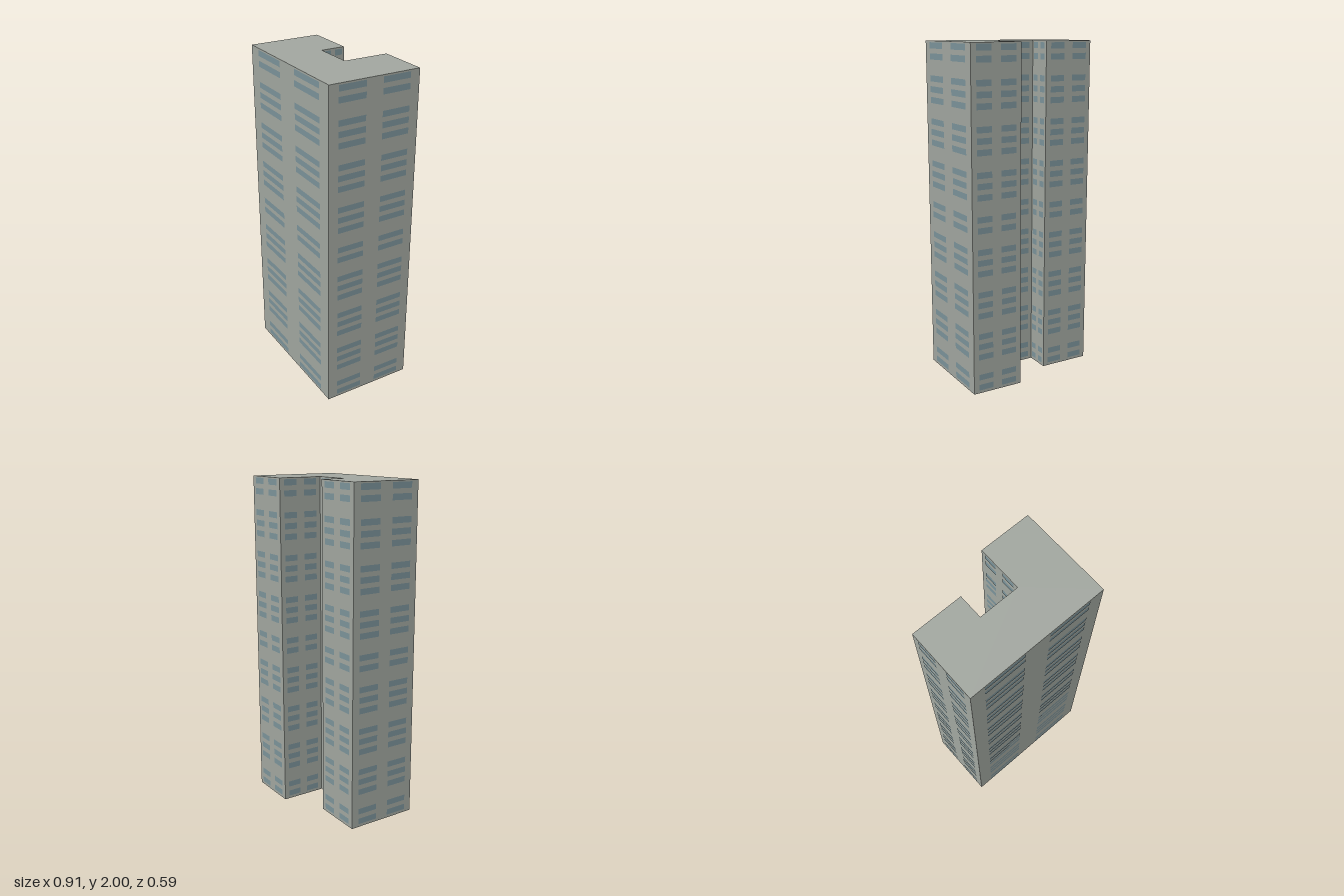
import * as THREE from 'three';
import { mergeGeometries } from 'three/addons/utils/BufferGeometryUtils.js';

const HEIGHT = 2;
const FLOORS = 32;
const FLOOR_HEIGHT = HEIGHT / FLOORS;
const BLANK_FLOORS = [2, 6, 10, 14, 17, 21, 25, 29];
const COLUMNS = [[0.102, 0.402], [0.588, 0.895]]; // share of the facade width

// U-shaped floor plan as [x, z], starting at the front right corner
const PLAN = [
  [-0.455, 0.218], [0.405, 0.292], [0.452, -0.268], [0.142, -0.295],
  [0.118, -0.022], [-0.124, -0.042], [-0.111, -0.189], [-0.417, -0.215],
];

const concrete = new THREE.MeshStandardMaterial({ name: 'concrete', color: 0xa3a8a1, side: THREE.DoubleSide });
const glass = new THREE.MeshStandardMaterial({ name: 'blueGlass', color: 0x7c949b });

// Two columns of window bands, skipping the blank floors
function windowBands(width) {
  const bands = [];
  for (let floor = 0; floor < FLOORS; floor++) {
    if (BLANK_FLOORS.includes(floor)) continue;
    const y = floor * FLOOR_HEIGHT + 0.036;
    for (const [start, end] of COLUMNS) {
      const band = new THREE.PlaneGeometry((end - start) * width, 0.035);
      band.translate(((start + end) / 2 - 0.5) * width, y, 0.002);
      bands.push(band);
    }
  }
  return mergeGeometries(bands);
}

// One wall with its windows, standing between two plan corners
function createFacade([x0, z0], [x1, z1], index) {
  const facade = new THREE.Group();
  facade.name = `facade${index + 1}`;
  const width = Math.hypot(x1 - x0, z1 - z0);

  const wall = new THREE.Mesh(new THREE.PlaneGeometry(width, HEIGHT).translate(0, HEIGHT / 2, 0), concrete);
  wall.name = 'wall';
  const windows = new THREE.Mesh(windowBands(width), glass);
  windows.name = 'windows';

  facade.add(wall, windows);
  facade.position.set((x0 + x1) / 2, 0, (z0 + z1) / 2);
  facade.rotation.y = Math.atan2(z0 - z1, x1 - x0);
  return facade;
}

export function createModel() {
  const tower = new THREE.Group();
  tower.name = 'towerBlock';

  PLAN.forEach((corner, i) => {
    tower.add(createFacade(corner, PLAN[(i + 1) % PLAN.length], i));
  });

  // Flat roof; the underside of the tower stays open
  const outline = new THREE.Shape(PLAN.map(([x, z]) => new THREE.Vector2(x, -z)));
  const roof = new THREE.Mesh(new THREE.ShapeGeometry(outline).rotateX(-Math.PI / 2), concrete);
  roof.name = 'roof';
  roof.position.y = HEIGHT;
  tower.add(roof);

  return tower;
}
